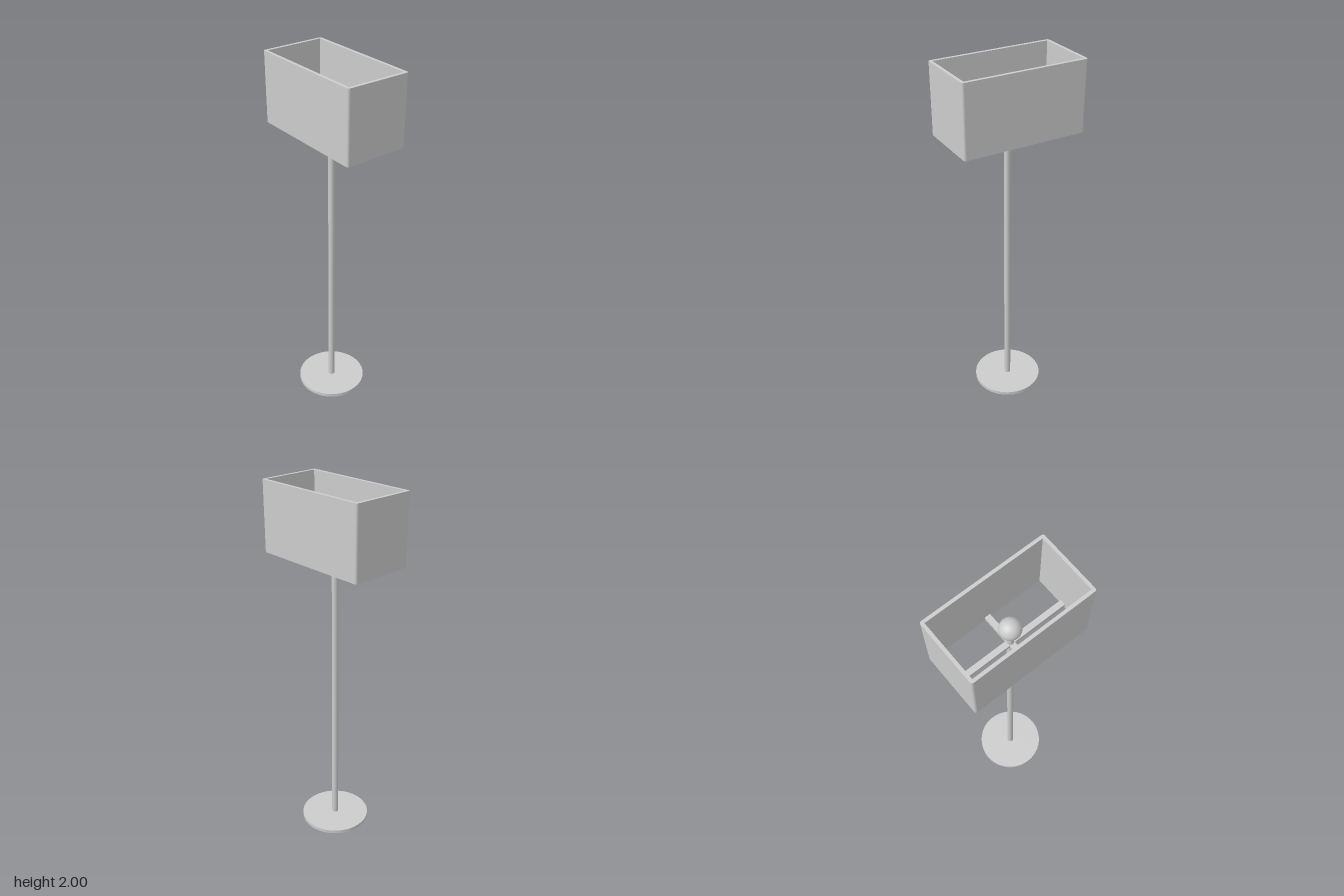
import * as THREE from 'three';

export function createModel() {
  const group = new THREE.Group();
  const grey = new THREE.MeshStandardMaterial({ color: 0xcccccc });
  grey.name = 'light grey';

  const add = (name, geometry, x, y, z) => {
    const mesh = new THREE.Mesh(geometry, grey);
    mesh.name = name;
    mesh.position.set(x, y, z);
    group.add(mesh);
  };

  // Round foot and slim pole
  add('base', new THREE.CylinderGeometry(0.194, 0.194, 0.02, 48), 0, 0.01, 0);
  add('pole', new THREE.CylinderGeometry(0.018, 0.018, 1.73, 24), 0, 0.885, 0);

  // Bulb on top of the pole
  add('bulb', new THREE.SphereGeometry(0.055, 32, 20), 0, 1.79, 0);

  // Rectangular shade: rounded outside corners, square inside, open at both ends
  const w = 0.339, d = 0.178, r = 0.012, wall = 0.017;
  const outline = new THREE.Shape();
  outline.moveTo(w, -d + r);
  outline.absarc(w - r, d - r, r, 0, Math.PI / 2);
  outline.absarc(-w + r, d - r, r, Math.PI / 2, Math.PI);
  outline.absarc(-w + r, -d + r, r, Math.PI, Math.PI * 1.5);
  outline.absarc(w - r, -d + r, r, Math.PI * 1.5, Math.PI * 2);
  const iw = w - wall, id = d - wall;
  outline.holes.push(new THREE.Path([[-iw, -id], [-iw, id], [iw, id], [iw, -id]]
    .map(([x, y]) => new THREE.Vector2(x, y))));
  const shade = new THREE.ExtrudeGeometry(outline, { depth: 0.38, bevelEnabled: false, curveSegments: 5 });
  shade.rotateX(-Math.PI / 2);
  const shadeZ = -0.01;
  add('shade', shade, 0, 1.62, shadeZ);

  // Crossed bars carrying the shade
  add('longSupportBar', new THREE.BoxGeometry(iw * 2 + 0.004, 0.02, 0.031), 0, 1.64, 0);
  add('shortSupportBar', new THREE.BoxGeometry(0.031, 0.02, id * 2 + 0.004), 0, 1.64, shadeZ);

  return group;
}
